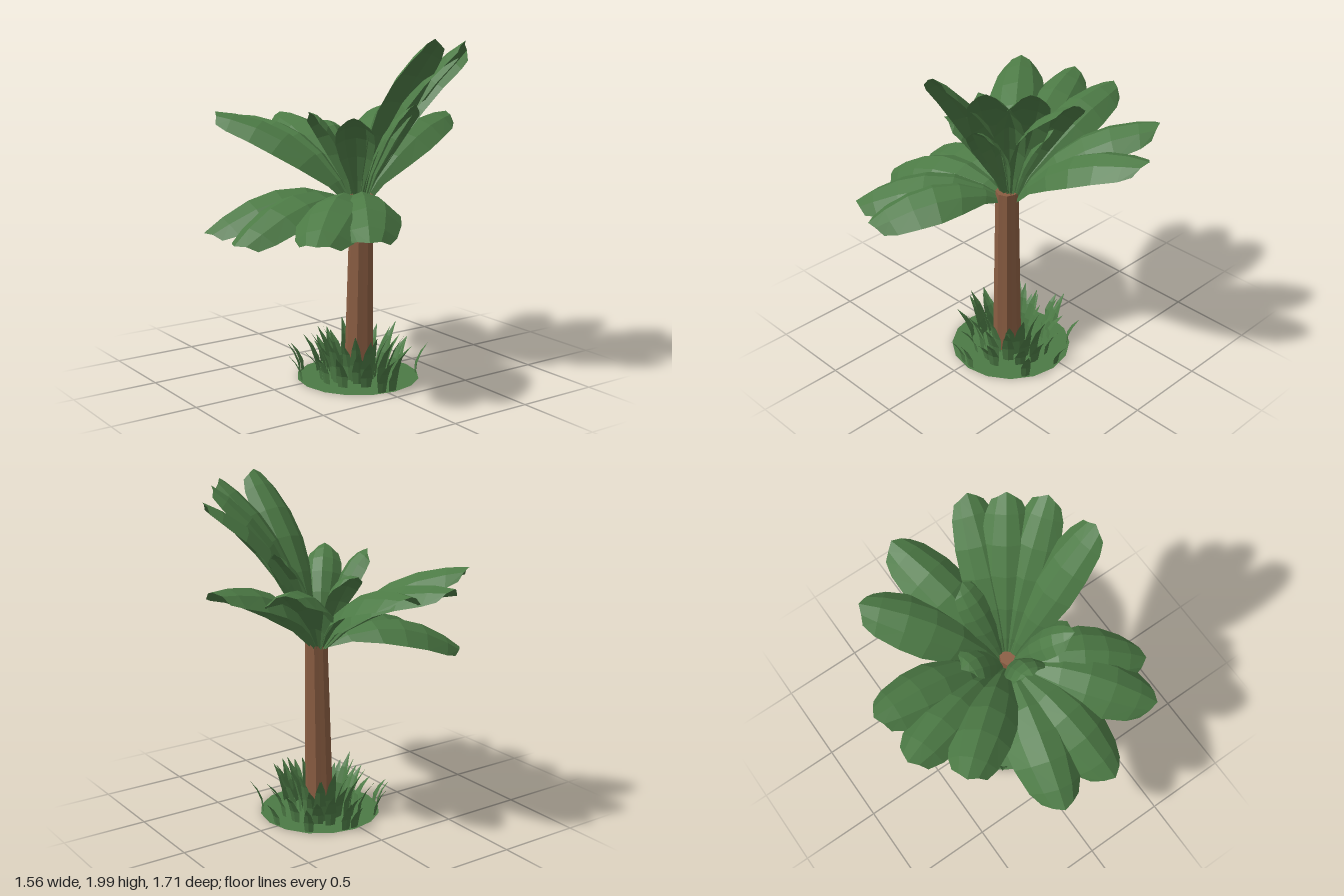
import * as THREE from 'three';

const CX = 0.065, CZ = -0.04; // crown and grass centre

// Sheet built from rows of points, each row having the same count
function sheet(rows, material, name) {
  const n = rows[0].length, pos = [], idx = [];
  rows.forEach((row) => row.forEach((p) => pos.push(p.x, p.y, p.z)));
  for (let i = 0; i < rows.length - 1; i++) {
    for (let j = 0; j < n - 1; j++) {
      const a = i * n + j, b = a + n;
      idx.push(a, a + 1, b, a + 1, b + 1, b);
    }
  }
  const g = new THREE.BufferGeometry();
  g.setAttribute('position', new THREE.Float32BufferAttribute(pos, 3));
  g.setIndex(idx);
  g.computeVertexNormals();
  const mesh = new THREE.Mesh(g, material);
  mesh.name = name;
  return mesh;
}

// Broad leaf: arched cross-section swept along a bent midrib, with a blunt, slightly ragged end
const LEAF_T = [0, 0.15, 0.35, 0.55, 0.73, 0.9, 1];
const LEAF_W = [0.12, 0.4, 0.82, 1, 0.96, 0.78, 0.56];
const RAGGED = [-0.02, -0.005, 0.02, -0.005, -0.03];

function leaf(material, tier, [tx, ty, tz]) {
  const dir = new THREE.Vector3(tx - CX, 0, tz - CZ);
  const reach = dir.length();
  dir.normalize();
  const at = (r, y) => new THREE.Vector3(CX + dir.x * r, y, CZ + dir.z * r);
  const rib = new THREE.QuadraticBezierCurve3(
    at(0.03, tier.baseY), at(reach * tier.ctrlR, tier.ctrlY), at(reach, ty));
  const side = new THREE.Vector3(-dir.z, 0, dir.x);
  const rows = LEAF_T.map((t, i) => {
    const p = rib.getPoint(t), tan = rib.getTangent(t);
    const up = new THREE.Vector3().crossVectors(side, tan).normalize();
    if (up.y < 0) up.negate();
    const w = LEAF_W[i] * tier.width;
    return [-1, -0.55, 0, 0.55, 1].map((s, j) => {
      const q = p.clone().addScaledVector(side, s * w).addScaledVector(up, -tier.arch * w * s * s);
      if (t === 1) q.addScaledVector(tan, RAGGED[j]);
      return q;
    });
  });
  return sheet(rows, material, tier.name);
}

// Pointed grass blade curling away from the trunk
function blade(material, r, angle, height, width, lean) {
  const c = Math.cos(angle), s = Math.sin(angle);
  const rows = [[0, 0.8], [0.35, 1], [0.7, 0.65], [1, 0.04]].map(([t, w]) => {
    const out = r + lean * t * t;
    return [-0.5, 0, 0.5].map((k) => {
      const o = out - Math.abs(k) * 0.016 * w;
      return new THREE.Vector3(CX + c * o - s * k * w * width, height * t, CZ + s * o + c * k * w * width);
    });
  });
  return sheet(rows, material, 'grassBlade');
}

export function createModel() {
  const leafGreen = new THREE.MeshStandardMaterial({ color: 0x4c7a45, flatShading: true, side: THREE.DoubleSide });
  leafGreen.name = 'leaf green';
  const barkBrown = new THREE.MeshStandardMaterial({ color: 0x8a5d42, flatShading: true });
  barkBrown.name = 'bark brown';

  const tree = new THREE.Group();
  tree.name = 'palmTree';

  // Fluted trunk, tapering and leaning slightly
  const H = 1.09;
  const trunkGeo = new THREE.CylinderGeometry(0.066, 0.086, H, 16, 4);
  const p = trunkGeo.attributes.position;
  for (let i = 0; i < p.count; i++) {
    const x = p.getX(i), z = p.getZ(i), h = p.getY(i) / H + 0.5;
    const k = Math.round((Math.atan2(z, x) / Math.PI) * 8);
    const f = k % 2 === 0 ? 1 : 0.92;
    p.setXYZ(i, x * f + 0.087 + 0.008 * h, h * H, z * f - 0.03 - 0.012 * h);
  }
  trunkGeo.computeVertexNormals();
  const trunk = new THREE.Mesh(trunkGeo, barkBrown);
  trunk.name = 'trunk';
  tree.add(trunk);

  // Crown: each tier shares its bend, listed by leaf tip positions
  const crown = new THREE.Group();
  crown.name = 'crown';
  const tiers = [
    { name: 'droopingLeaf', baseY: 1.03, ctrlR: 0.5, ctrlY: 1.31, width: 0.2, arch: 0.6,
      tips: [[-0.15, 0.94, 0.83], [0.19, 0.93, 0.84], [0.75, 0.99, 0.38], [0.64, 0.98, 0.63]] },
    { name: 'spreadingLeaf', baseY: 1.02, ctrlR: 0.36, ctrlY: 1.52, width: 0.175, arch: 0.65,
      tips: [[-0.77, 1.49, -0.05], [-0.76, 1.49, 0.25], [-0.57, 1.54, 0.51], [-0.49, 1.52, -0.62], [-0.14, 1.5, -0.84]] },
    { name: 'uprightLeaf', baseY: 1.03, ctrlR: 0.26, ctrlY: 1.68, width: 0.145, arch: 0.5,
      tips: [[0.65, 1.98, -0.1], [0.56, 1.96, -0.38], [0.4, 1.95, -0.52], [0.25, 1.89, -0.66]] },
    { name: 'youngLeaf', baseY: 1.04, ctrlR: 0.4, ctrlY: 1.52, width: 0.11, arch: 0.55,
      tips: [[0.02, 1.57, 0.25], [-0.24, 1.49, -0.01], [0.33, 1.56, 0.18], [0.01, 1.61, -0.36], [0.42, 1.62, -0.16]] },
  ];
  tiers.forEach((tier) => tier.tips.forEach((tip) => crown.add(leaf(leafGreen, tier, tip))));
  tree.add(crown);

  // Flat patch of ground, open under the trunk
  const patch = new THREE.Mesh(new THREE.RingGeometry(0.075, 0.36, 16, 1), leafGreen);
  patch.name = 'groundPatch';
  patch.rotation.x = -Math.PI / 2;
  patch.position.set(CX, 0.002, CZ);
  tree.add(patch);

  // Grass rings around the trunk
  const grass = new THREE.Group();
  grass.name = 'grass';
  const rings = [[0.12, 10, 0.27, 0.075, 0.07], [0.18, 13, 0.25, 0.075, 0.09], [0.24, 13, 0.19, 0.07, 0.09]];
  rings.forEach(([r, n, h, w, lean], k) => {
    for (let i = 0; i < n; i++) {
      const wob = Math.sin(i * 2.7 + k * 1.9);
      const a = ((i + 0.5 * k + 0.25 * wob) / n) * Math.PI * 2;
      grass.add(blade(leafGreen, r + 0.015 * wob, a, h * (1 + 0.16 * wob), w, lean));
    }
  });
  // Sparse blades along the rim
  [0, 12, 110, 128, 140, 178, 188, 225, 262, 300].forEach((deg, i) =>
    grass.add(blade(leafGreen, 0.345, THREE.MathUtils.degToRad(deg), 0.19 - 0.02 * (i % 3), 0.06, 0.07)));
  tree.add(grass);

  return tree;
}
